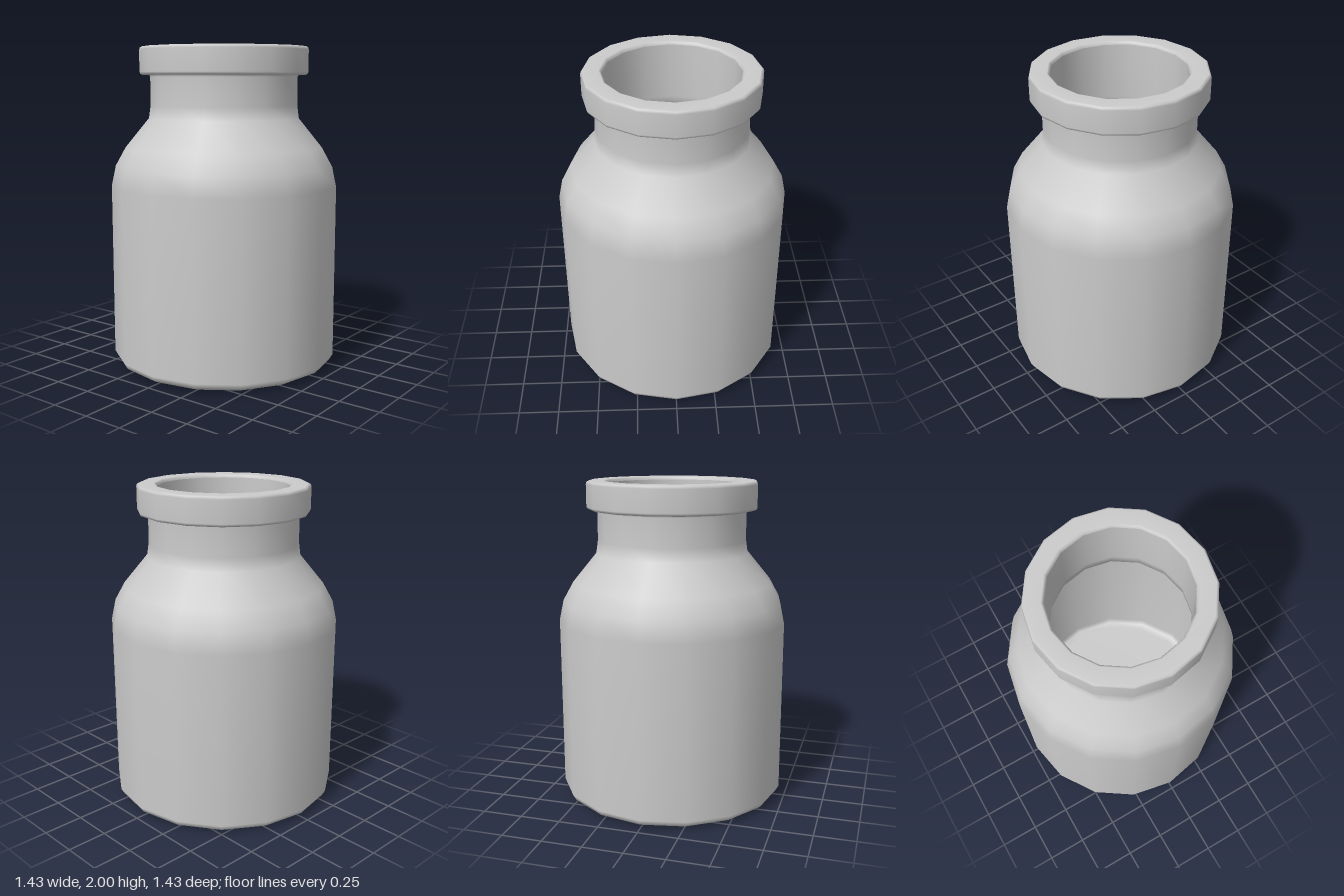
import * as THREE from 'three';

const SIDES = 16;

// Smooth 16-sided turned surface from [radius, height] pairs
function turned(name, points) {
  const profile = points.map(([r, y]) => new THREE.Vector2(r, y));
  const mesh = new THREE.Mesh(
    new THREE.LatheGeometry(profile, SIDES),
    new THREE.MeshStandardMaterial({ color: 0xcccccc, side: THREE.DoubleSide })
  );
  mesh.name = name;
  return mesh;
}

export function createModel() {
  const jar = new THREE.Group();
  jar.name = 'jar';

  // Base, straight body, rounded shoulder and neck
  jar.add(turned('outerBody', [
    [0, 0], [0.63, 0], [0.655, 0.004], [0.695, 0.025], [0.715, 0.06],
    [0.715, 1.14], [0.688, 1.265], [0.624, 1.38], [0.476, 1.56],
    [0.465, 1.64], [0.465, 1.815], [0.472, 1.827],
  ]));

  // Thick lip with softened edges
  jar.add(turned('lip', [
    [0.472, 1.827], [0.515, 1.827], [0.526, 1.832], [0.531, 1.845],
    [0.531, 1.98], [0.526, 1.994], [0.515, 2],
    [0.425, 2], [0.414, 1.995], [0.409, 1.98],
  ]));

  // Hollow inside, following the outer wall down to the floor
  jar.add(turned('innerWall', [
    [0.409, 1.98], [0.409, 1.63], [0.425, 1.54], [0.575, 1.35],
    [0.635, 1.245], [0.66, 1.13], [0.66, 0.1], [0.64, 0.065],
    [0.6, 0.055], [0, 0.055],
  ]));

  return jar;
}
